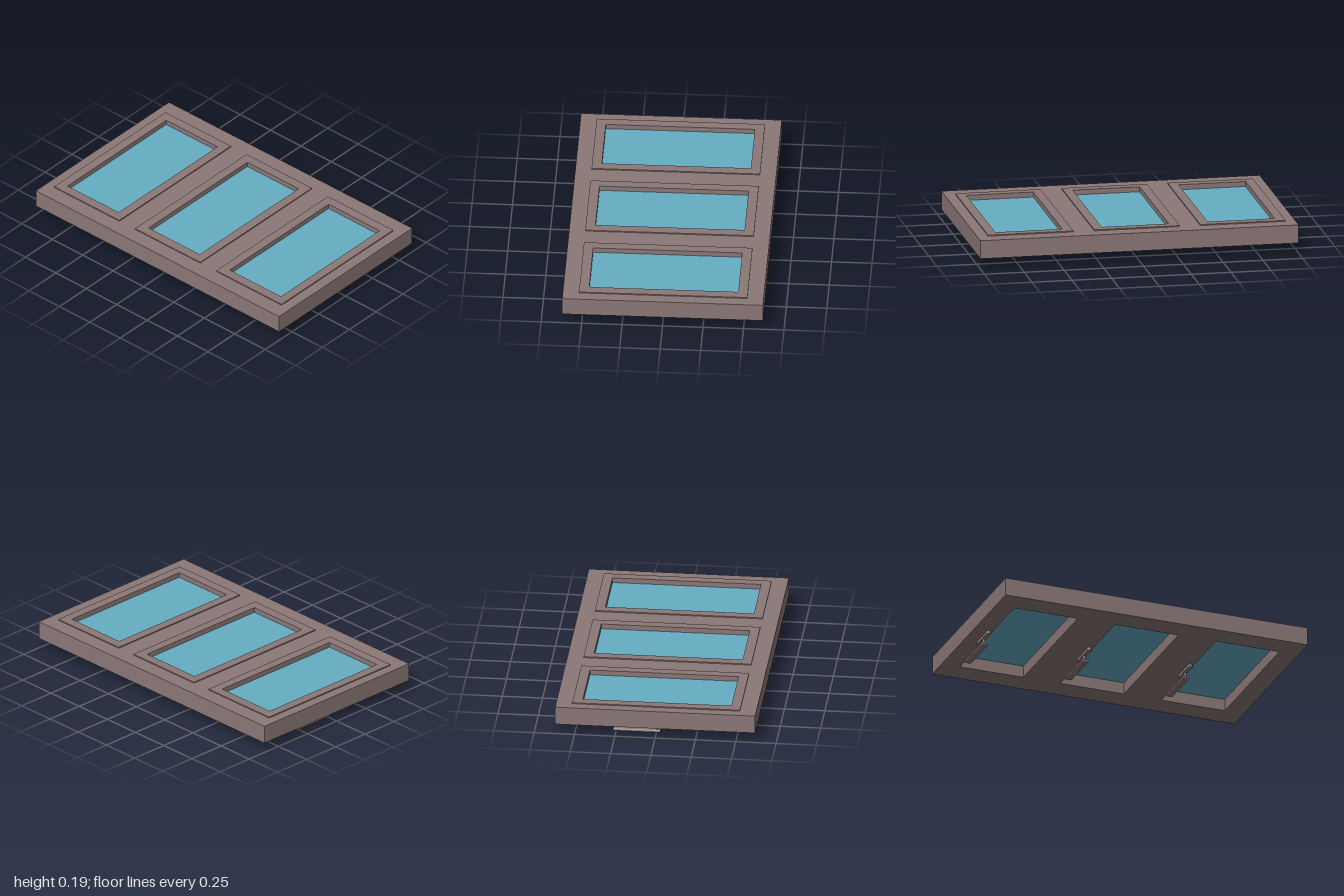
import * as THREE from 'three';
import { RoundedBoxGeometry } from 'three/addons/geometries/RoundedBoxGeometry.js';

const wood = new THREE.MeshStandardMaterial({ color: 0x8b7877 });
const glass = new THREE.MeshStandardMaterial({ color: 0x66aec4 });

const PANE_Z = [-0.67, -0.004, 0.664]; // centres of the three panes
const SASH = [0.52, 0.268]; // half sizes in x and z
const OPENING = [0.46, 0.21];

function rect(path, hx, hz, cz = 0) {
  path.moveTo(-hx, cz - hz);
  path.lineTo(hx, cz - hz);
  path.lineTo(hx, cz + hz);
  path.lineTo(-hx, cz + hz);
  path.closePath();
  return path;
}

function add(parent, name, geometry, material, x, y, z) {
  const mesh = new THREE.Mesh(geometry, material);
  mesh.name = name;
  mesh.position.set(x, y, z);
  parent.add(mesh);
  return mesh;
}

// Horizontal slab cut from an x-z outline, between two heights
function slab(shape, bottom, top) {
  return new THREE.ExtrudeGeometry(shape, { depth: top - bottom, bevelEnabled: false, curveSegments: 8 })
    .rotateX(Math.PI / 2)
    .translate(0, top, 0);
}

function frameLayer(hole) {
  const shape = rect(new THREE.Shape(), 0.62, 1);
  for (const z of PANE_Z) shape.holes.push(rect(new THREE.Path(), ...hole, z));
  return shape;
}

function sashShape() {
  const shape = rect(new THREE.Shape(), ...SASH);
  shape.holes.push(rect(new THREE.Path(), ...OPENING));
  return shape;
}

// Outline with half-round ends
function stadium(x0, x1, r) {
  const s = new THREE.Shape();
  s.moveTo(x0 + r, -r);
  s.lineTo(x1 - r, -r);
  s.absarc(x1 - r, 0, r, -Math.PI / 2, Math.PI / 2);
  s.lineTo(x0 + r, r);
  s.absarc(x0 + r, 0, r, Math.PI / 2, Math.PI * 1.5);
  return s;
}

function createHandle() {
  const handle = new THREE.Group();
  handle.name = 'handle';
  add(handle, 'handlePlate', slab(stadium(-0.1, 0.095, 0.013), 0.045, 0.065), wood, 0, 0, 0);
  add(handle, 'handlePost', new THREE.CylinderGeometry(0.009, 0.009, 0.035, 16), wood, -0.003, 0.031, 0);
  add(handle, 'handleLever', new RoundedBoxGeometry(0.295, 0.018, 0.044, 3, 0.008), wood, 0.1225, 0.009, 0);
  return handle;
}

export function createModel() {
  const model = new THREE.Group();
  model.name = 'windowFrame';

  // Outer frame with a rebate that seats the sashes
  add(model, 'frameStop', slab(frameLayer(OPENING), 0.065, 0.105), wood, 0, 0, 0);
  add(model, 'frame', slab(frameLayer(SASH), 0.105, 0.18), wood, 0, 0, 0);

  // Three sashes, each with a pane and a handle underneath
  for (const z of PANE_Z) {
    const sash = new THREE.Group();
    sash.name = 'sash';
    sash.position.z = z;
    add(sash, 'sashRim', slab(sashShape(), 0.105, 0.187), wood, 0, 0, 0);
    add(sash, 'pane', new THREE.BoxGeometry(OPENING[0] * 2, 0.014, OPENING[1] * 2), glass, 0, 0.148, 0);
    const handle = createHandle();
    handle.position.z = -0.233;
    sash.add(handle);
    model.add(sash);
  }
  return model;
}
